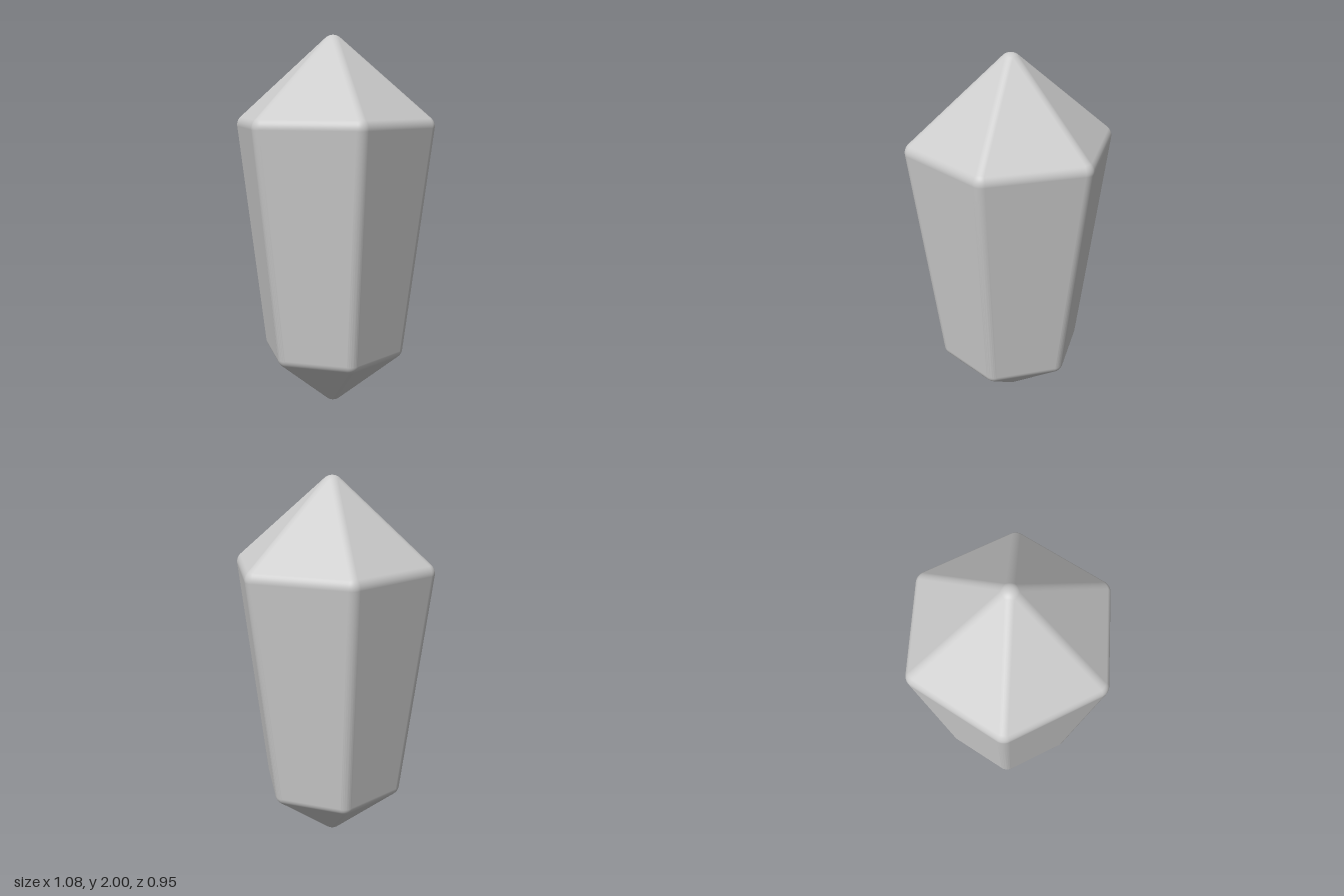
import * as THREE from 'three';
import { ConvexGeometry } from 'three/addons/geometries/ConvexGeometry.js';

const SIDES = 6;
const RADIUS = 0.06; // edge rounding
const STEPS = 6; // segments across each rounded edge

// Core profile measured at the middle of the faces: [apothem, height]
const PROFILE = [[0, 1.94], [0.416, 1.53], [0.286, 0.33], [0, 0.06]];

const angle = (k) => (k * Math.PI * 2) / SIDES;

// Outward normal of face k in a band between two profile points
function faceNormal(band, k) {
  const [a0, y0] = PROFILE[band];
  const [a1, y1] = PROFILE[band + 1];
  const t = angle(k + 0.5);
  const out = y0 - y1;
  return new THREE.Vector3(Math.cos(t) * out, a1 - a0, Math.sin(t) * out).normalize();
}

// Core corners, each with its neighbouring face normals in cyclic order
function coreCorners() {
  const all = [...Array(SIDES).keys()];
  const corners = [
    { at: new THREE.Vector3(0, PROFILE[0][1], 0), normals: all.map((k) => faceNormal(0, k)) },
    { at: new THREE.Vector3(0, PROFILE[3][1], 0), normals: all.map((k) => faceNormal(2, k)) },
  ];
  for (const ring of [1, 2]) {
    const [apothem, y] = PROFILE[ring];
    const r = apothem / Math.cos(Math.PI / SIDES);
    for (const k of all) {
      corners.push({
        at: new THREE.Vector3(Math.cos(angle(k)) * r, y, Math.sin(angle(k)) * r),
        normals: [
          faceNormal(ring - 1, k - 1), faceNormal(ring - 1, k),
          faceNormal(ring, k), faceNormal(ring, k - 1),
        ],
      });
    }
  }
  return corners;
}

// Rounded cap of points around one corner
function capPoints({ at, normals }) {
  const points = [];
  const centre = normals.reduce((s, n) => s.add(n), new THREE.Vector3()).normalize();
  normals.forEach((n, i) => {
    const next = normals[(i + 1) % normals.length];
    for (let a = 0; a < STEPS; a++) {
      const rim = n.clone().lerp(next, a / STEPS).normalize();
      for (let b = 1; b <= STEPS; b++) {
        const dir = centre.clone().lerp(rim, b / STEPS).normalize();
        points.push(dir.multiplyScalar(RADIUS).add(at));
      }
    }
  });
  points.push(centre.multiplyScalar(RADIUS).add(at));
  return points;
}

export function createModel() {
  const corners = coreCorners();
  const geometry = new ConvexGeometry(corners.flatMap(capPoints));

  // Smooth normals point away from the nearest core corner, so faces stay flat
  const pos = geometry.attributes.position;
  const p = new THREE.Vector3();
  for (let i = 0; i < pos.count; i++) {
    p.fromBufferAttribute(pos, i);
    let best = corners[0].at;
    for (const { at } of corners) {
      if (p.distanceToSquared(at) < p.distanceToSquared(best)) best = at;
    }
    p.sub(best).normalize();
    geometry.attributes.normal.setXYZ(i, p.x, p.y, p.z);
  }

  const crystal = new THREE.Mesh(geometry, new THREE.MeshStandardMaterial({ color: 0xcccccc }));
  crystal.name = 'crystal';
  const group = new THREE.Group();
  group.name = 'crystalModel';
  group.add(crystal);
  return group;
}
